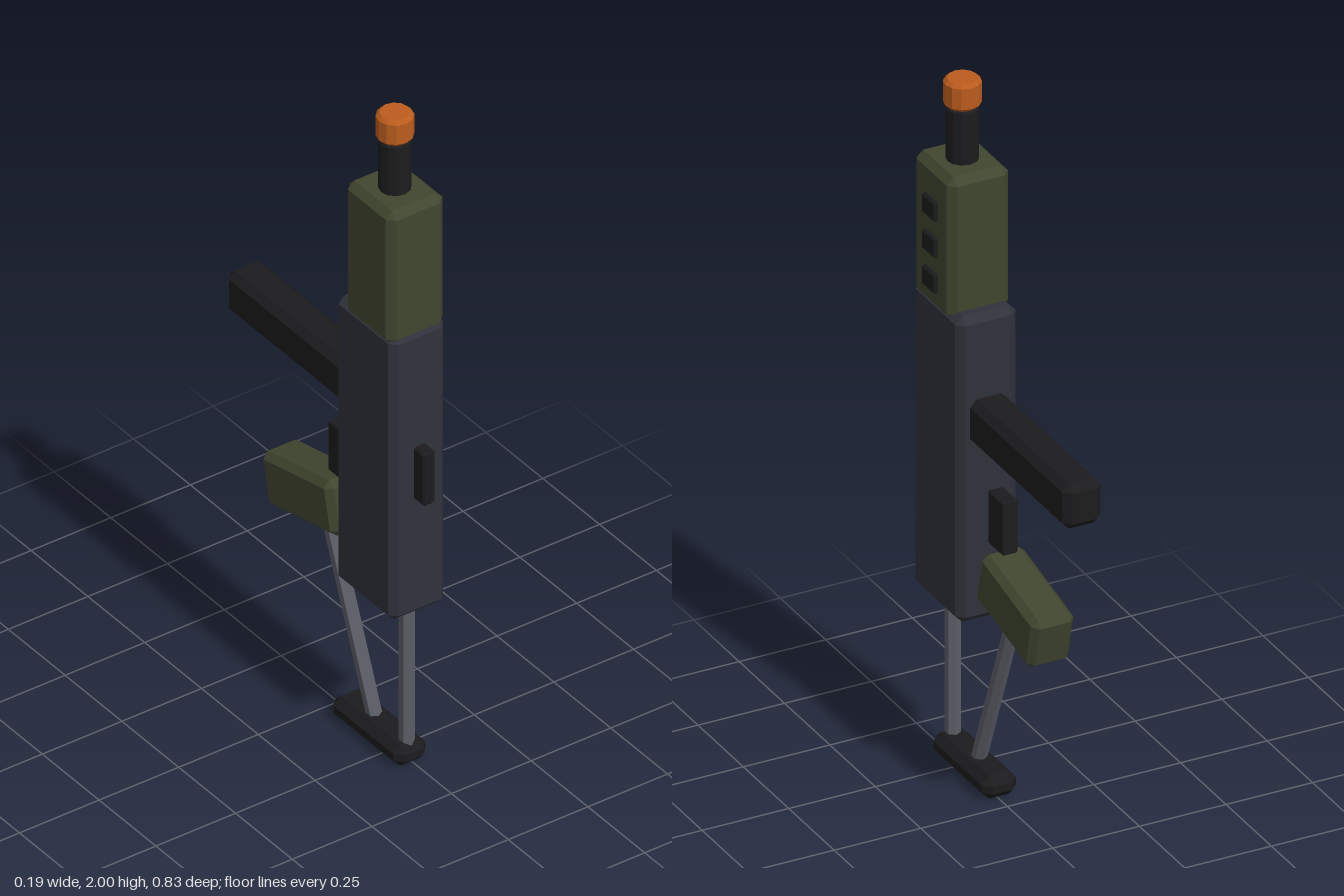
import * as THREE from 'three';
import { ConvexGeometry } from 'three/addons/geometries/ConvexGeometry.js';

const material = (color) => new THREE.MeshStandardMaterial({ color, flatShading: true });

// Box with every edge cut by a flat chamfer
function chamferBox(w, h, d, c) {
  const points = [];
  for (const x of [-1, 1]) for (const y of [-1, 1]) for (const z of [-1, 1]) {
    for (let flush = 0; flush < 3; flush++) {
      const half = [w / 2, h / 2, d / 2].map((s, i) => (i === flush ? s : s - c));
      points.push(new THREE.Vector3(x * half[0], y * half[1], z * half[2]));
    }
  }
  return new ConvexGeometry(points);
}

// Upright cylinder with chamfered rims, base at y = 0
function chamferCylinder(r, h, c, sides) {
  const profile = [[0, 0], [r - c, 0], [r, c], [r, h - c], [r - c, h], [0, h]];
  return new THREE.LatheGeometry(profile.map(([x, y]) => new THREE.Vector2(x, y)), sides);
}

export function createModel() {
  const model = new THREE.Group();
  const centre = -0.006;
  const slate = material(0x2f323a);
  const olive = material(0x40462f);
  const black = material(0x1c1c1e);
  const orange = material(0xbc5c1e);
  const steel = material(0x5c5f68);

  function add(name, geometry, mat, x, y, z) {
    const mesh = new THREE.Mesh(geometry, mat);
    mesh.name = name;
    mesh.position.set(x, y, z);
    model.add(mesh);
    return mesh;
  }

  // Box given by its y and z limits
  const block = (name, mat, w, [y0, y1], [z0, z1], c, x = centre) =>
    add(name, chamferBox(w, y1 - y0, z1 - z0, c), mat, x, (y0 + y1) / 2, (z0 + z1) / 2);

  // Main body
  block('receiver', slate, 0.174, [0.49, 1.38], [0.113, 0.37], 0.02);
  block('handguard', olive, 0.178, [1.35, 1.765], [0.157, 0.363], 0.02);
  block('magazine', black, 0.11, [1.01, 1.14], [-0.415, 0.16], 0.02);
  block('sight', black, 0.038, [0.855, 1.02], [0.34, 0.413], 0.006);
  block('trigger', black, 0.045, [0.735, 0.89], [-0.005, 0.077], 0.004);

  // Vents on the left side of the handguard
  for (let i = 0; i < 3; i++) {
    const y = 1.435 + i * 0.105;
    block('vent', black, 0.04, [y - 0.028, y + 0.028], [0.225, 0.292], 0.004, 0.075);
  }

  // Tilted grip
  const grip = add('grip', chamferBox(0.123, 0.157, 0.31, 0.018), olive, centre, 0.623, -0.087);
  grip.rotation.x = -0.225;

  // Barrel and muzzle cap
  add('barrel', chamferCylinder(0.043, 0.215, 0.012, 12), black, centre, 1.71, 0.259);
  add('muzzleCap', chamferCylinder(0.05, 0.08, 0.01, 12), orange, centre, 1.92, 0.259);

  // Stock struts and foot
  function strut(name, from, to) {
    const a = new THREE.Vector3(centre, ...from);
    const b = new THREE.Vector3(centre, ...to);
    const mid = a.clone().lerp(b, 0.5);
    const rod = add(name, new THREE.CylinderGeometry(0.021, 0.021, a.distanceTo(b), 6), steel, mid.x, mid.y, mid.z);
    rod.quaternion.setFromUnitVectors(new THREE.Vector3(0, 1, 0), b.sub(a).normalize());
  }
  strut('frontStrut', [0.04, 0.312], [0.52, 0.312]);
  strut('rearStrut', [0.04, 0.176], [0.58, -0.035]);
  block('stockFoot', black, 0.1, [0, 0.066], [0.037, 0.345], 0.022);

  return model;
}
